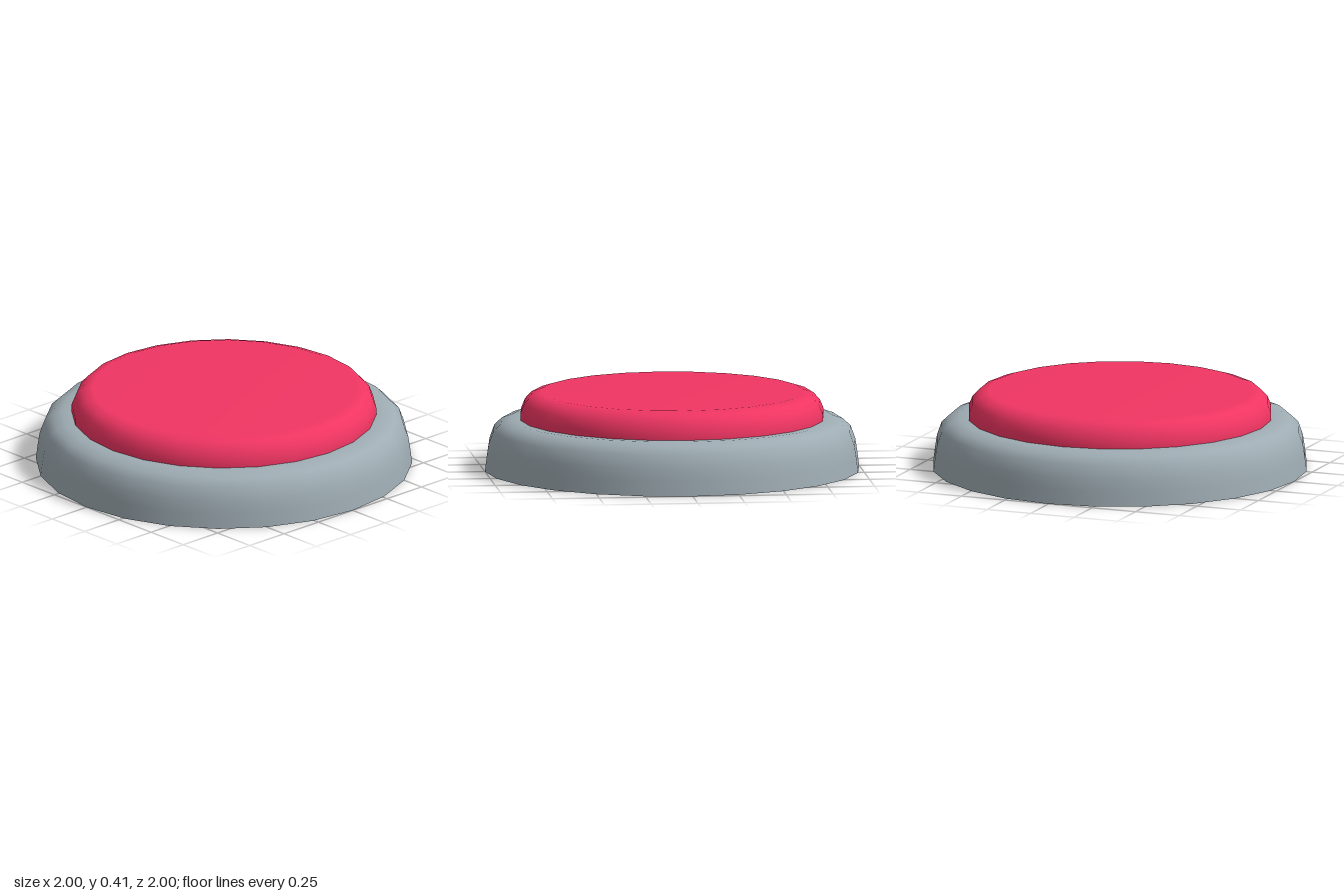
import * as THREE from 'three';

const SIDES = 24;

// Revolve a list of [radius, height] pairs around the y axis
function lathe(name, profile, material) {
  const points = profile.map(([r, y]) => new THREE.Vector2(r, y));
  const mesh = new THREE.Mesh(new THREE.LatheGeometry(points, SIDES), material);
  mesh.name = name;
  return mesh;
}

export function createModel() {
  const group = new THREE.Group();
  group.name = 'pushButton';

  const grey = new THREE.MeshStandardMaterial({ color: 0x9eacb3, side: THREE.DoubleSide });
  const red = new THREE.MeshStandardMaterial({ color: 0xf03562 });

  // Hollow housing: rounded outer shell, open underneath
  group.add(lathe('housingShell', [
    [1, 0], [0.99, 0.08], [0.98, 0.145], [0.955, 0.215],
    [0.915, 0.253], [0.86, 0.272], [0.8, 0.272],
  ], grey));

  // Inner sleeve hanging from the shell, stopping just above the floor
  group.add(lathe('innerSleeve', [[0.81, 0.272], [0.81, 0.03]], grey));

  // Cap with rounded shoulder and flat top
  group.add(lathe('buttonCap', [
    [0.81, 0.27], [0.81, 0.31], [0.79, 0.36],
    [0.755, 0.397], [0.7, 0.415], [0, 0.415],
  ], red));

  // Flat underside of the cap, seen through the sleeve
  const base = new THREE.Mesh(new THREE.CircleGeometry(0.81, SIDES), red);
  base.name = 'buttonUnderside';
  base.rotation.x = Math.PI / 2;
  base.position.y = 0.268;
  group.add(base);

  return group;
}
